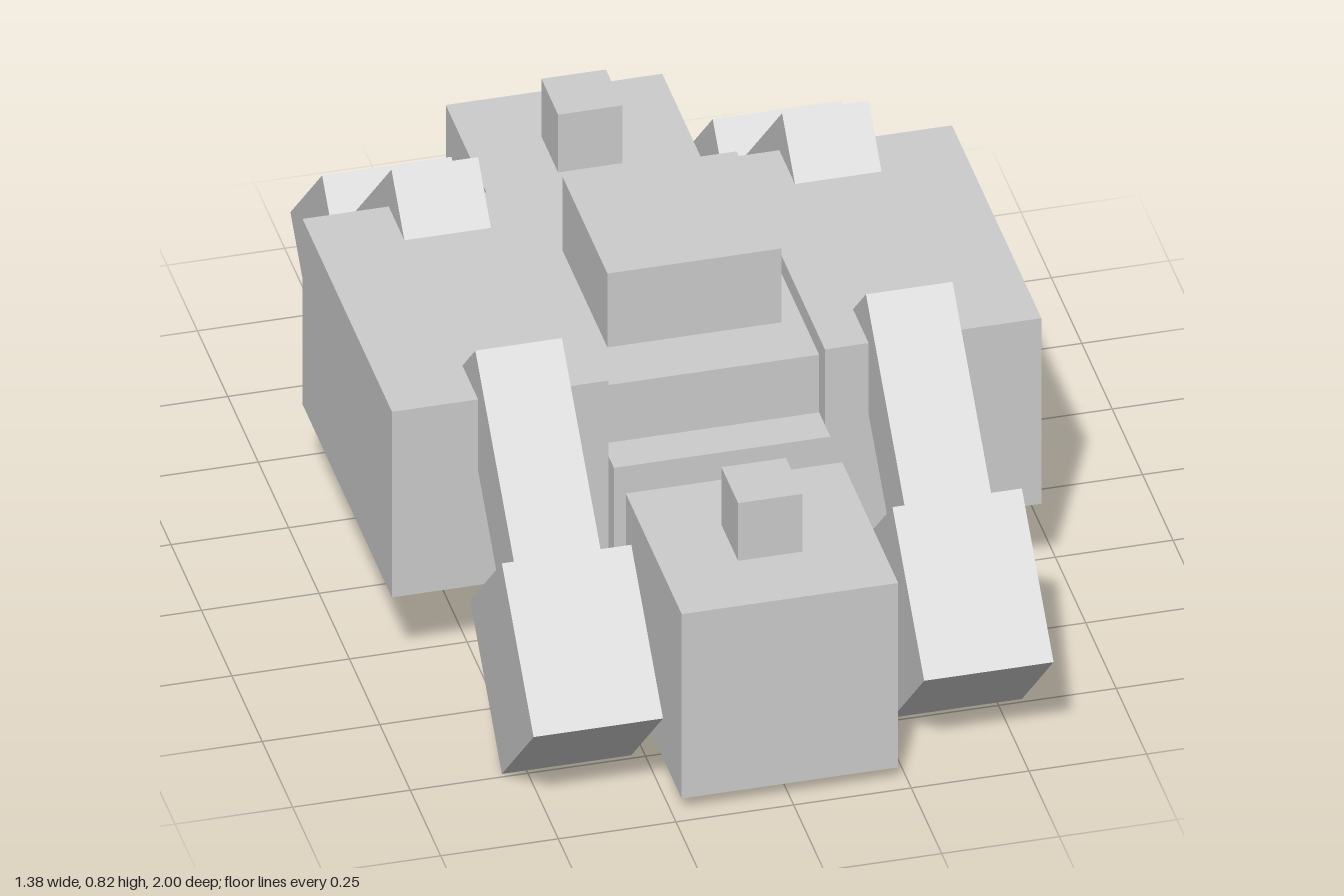
import * as THREE from 'three';

export function createModel() {
  const group = new THREE.Group();
  const material = new THREE.MeshStandardMaterial({ color: 0xcccccc, flatShading: true });

  // Adds a box of a given size at a given centre
  function box(name, size, centre) {
    const mesh = new THREE.Mesh(new THREE.BoxGeometry(...size), material);
    mesh.name = name;
    mesh.position.set(...centre);
    group.add(mesh);
    return mesh;
  }

  // Stepped central hull
  box('hull', [0.46, 0.457, 0.825], [0, 0.2635, 0]);
  box('upperHull', [0.46, 0.143, 0.64], [0, 0.5635, 0]);
  box('cabin', [0.37, 0.183, 0.37], [0, 0.7265, 0]);

  for (const end of [1, -1]) {
    const where = end > 0 ? 'front' : 'back';
    // Separate block at each end with a small cube on top
    box(where + 'Block', [0.46, 0.457, 0.46], [0, 0.2635, end * 0.74]);
    box(where + 'BlockCube', [0.137, 0.143, 0.137], [0, 0.5635, end * 0.74]);
  }

  for (const side of [1, -1]) {
    const hand = side > 0 ? 'left' : 'right';
    // Large side pod
    box(hand + 'Pod', [0.46, 0.46, 0.735], [side * 0.46, 0.449, 0]);

    for (const end of [1, -1]) {
      const name = hand + (end > 0 ? 'Front' : 'Back');
      // Diagonal brace under the pod
      box(name + 'Brace', [0.3, 0.135, 0.135], [side * 0.252, 0.198, end * 0.163])
        .rotation.z = side * Math.PI / 4;
      // Sloping leg from the pod into the foot
      box(name + 'Leg', [0.184, 0.184, 0.62], [side * 0.415, 0.501, end * 0.499])
        .rotation.x = end * Math.PI / 4;
      // Foot standing on its edge
      box(name + 'Foot', [0.275, 0.369, 0.369], [side * 0.415, 0.261, end * 0.739])
        .rotation.x = Math.PI / 4;
    }
  }
  return group;
}
